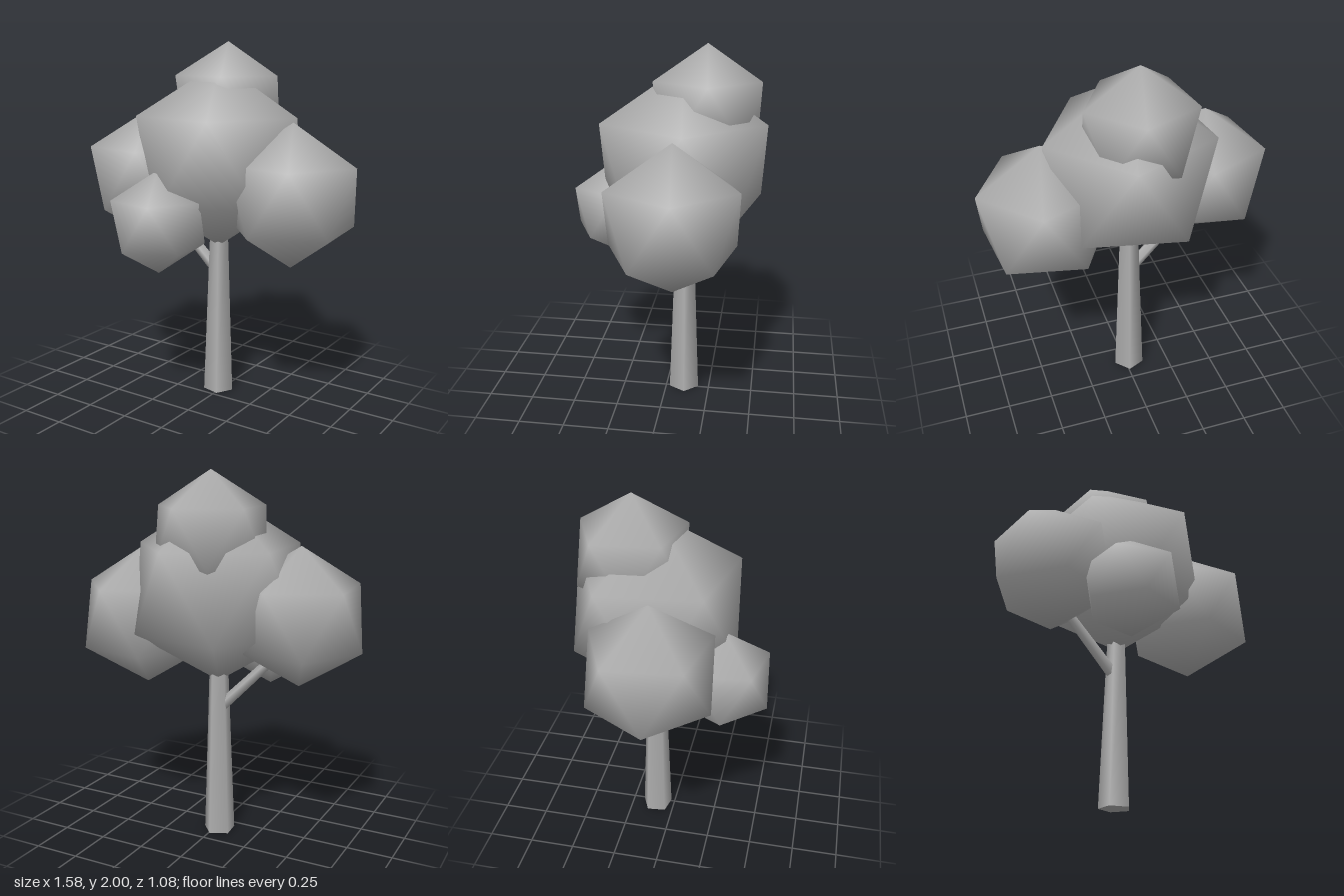
import * as THREE from 'three';

const TURN = THREE.MathUtils.degToRad(-6);

// Twenty-sided ball standing on a corner: two poles and two staggered rings of five
function makeBall() {
  const pos = [0, 1, 0, 0, -1, 0];
  const index = [];
  const h = 1 / Math.sqrt(5), ring = 2 * h;
  for (let k = 0; k < 5; k++) {
    const a = TURN + k * Math.PI * 0.4, b = a + Math.PI * 0.2;
    pos.push(ring * Math.cos(a), h, ring * Math.sin(a));
    pos.push(ring * Math.cos(b), -h, ring * Math.sin(b));
    const n = (k + 1) % 5;
    const u = 2 + 2 * k, l = u + 1, un = 2 + 2 * n, ln = un + 1;
    index.push(0, un, u, u, un, l, un, ln, l, 1, l, ln);
  }
  const g = new THREE.BufferGeometry();
  g.setAttribute('position', new THREE.Float32BufferAttribute(pos, 3));
  g.setIndex(index);
  g.computeVertexNormals(); // shared corners give smooth shading
  return g;
}

export function createModel() {
  const tree = new THREE.Group();
  tree.name = 'tree';
  const grey = new THREE.MeshStandardMaterial({ color: 0xb0b0b0 });
  grey.name = 'plain grey';

  // Foliage clumps: name, centre, radius
  const ball = makeBall();
  const clumps = [
    ['mainFoliage', -0.015, 1.38, -0.09, 0.51],
    ['topFoliage', -0.035, 1.67, -0.21, 0.33],
    ['leftFoliage', 0.44, 1.2, -0.09, 0.39],
    ['rightFoliage', -0.46, 1.25, -0.03, 0.37],
    ['frontFoliage', -0.155, 1.06, 0.295, 0.28],
  ];
  for (const [name, x, y, z, r] of clumps) {
    const m = new THREE.Mesh(ball, grey);
    m.name = name;
    m.position.set(x, y, z);
    m.scale.setScalar(r);
    tree.add(m);
  }

  // Tapered five-sided limb between two points
  const limb = (name, from, to, r0, r1) => {
    const a = new THREE.Vector3(...from), b = new THREE.Vector3(...to);
    const dir = b.clone().sub(a);
    const g = new THREE.CylinderGeometry(r1, r0, dir.length(), 5, 1, false, Math.PI / 2 - TURN);
    const m = new THREE.Mesh(g, grey);
    m.name = name;
    m.position.copy(a).add(b).multiplyScalar(0.5);
    m.quaternion.setFromUnitVectors(new THREE.Vector3(0, 1, 0), dir.normalize());
    tree.add(m);
  };
  limb('trunk', [-0.024, 0, -0.102], [-0.02, 1.05, -0.1], 0.088, 0.05);
  limb('branch', [-0.02, 0.71, -0.1], [-0.38, 1.07, -0.08], 0.035, 0.027);

  return tree;
}
